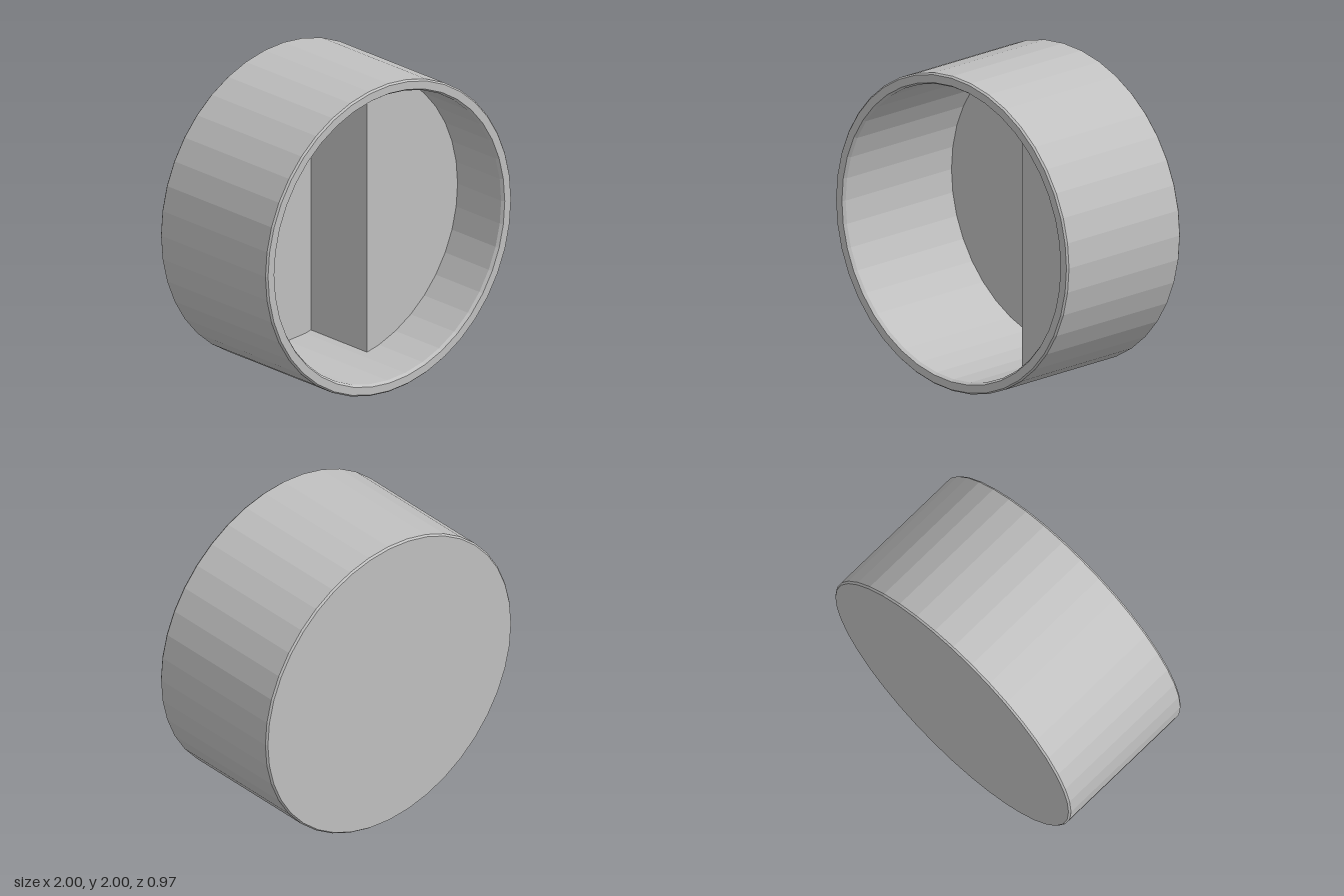
import * as THREE from 'three';

const SEGMENTS = 40;

export function createModel() {
  const group = new THREE.Group();
  group.name = 'roundCup';
  const grey = new THREE.MeshStandardMaterial({ color: 0xc0c0c0, flatShading: true });
  grey.name = 'plain grey';

  const add = (name, geometry) => {
    const mesh = new THREE.Mesh(geometry, grey);
    mesh.name = name;
    mesh.position.y = 1;
    group.add(mesh);
  };

  // Hollow drum lying on its side: closed back, narrow bevelled rim at the front
  const profile = [
    [0, -0.485], [0.99, -0.485], [1, -0.473], [1, 0.473], [0.99, 0.485],
    [0.94, 0.485], [0.928, 0.465], [0.928, -0.44], [0, -0.44],
  ].map(([r, z]) => new THREE.Vector2(r, z));
  const shell = new THREE.LatheGeometry(profile, SEGMENTS);
  shell.rotateX(Math.PI / 2);
  add('cupShell', shell);

  // Solid step filling one side of the cavity, its edges sunk into the wall and floor
  const radius = 0.945, chordX = 0.19, front = 0.07, back = -0.46;
  const angle = Math.acos(chordX / radius);
  const segment = new THREE.Shape();
  segment.absarc(0, 0, radius, -angle, angle, false);
  segment.closePath();
  const step = new THREE.ExtrudeGeometry(segment, {
    depth: front - back, bevelEnabled: false, curveSegments: 18,
  });
  step.translate(0, 0, back);
  add('innerStep', step);

  return group;
}
